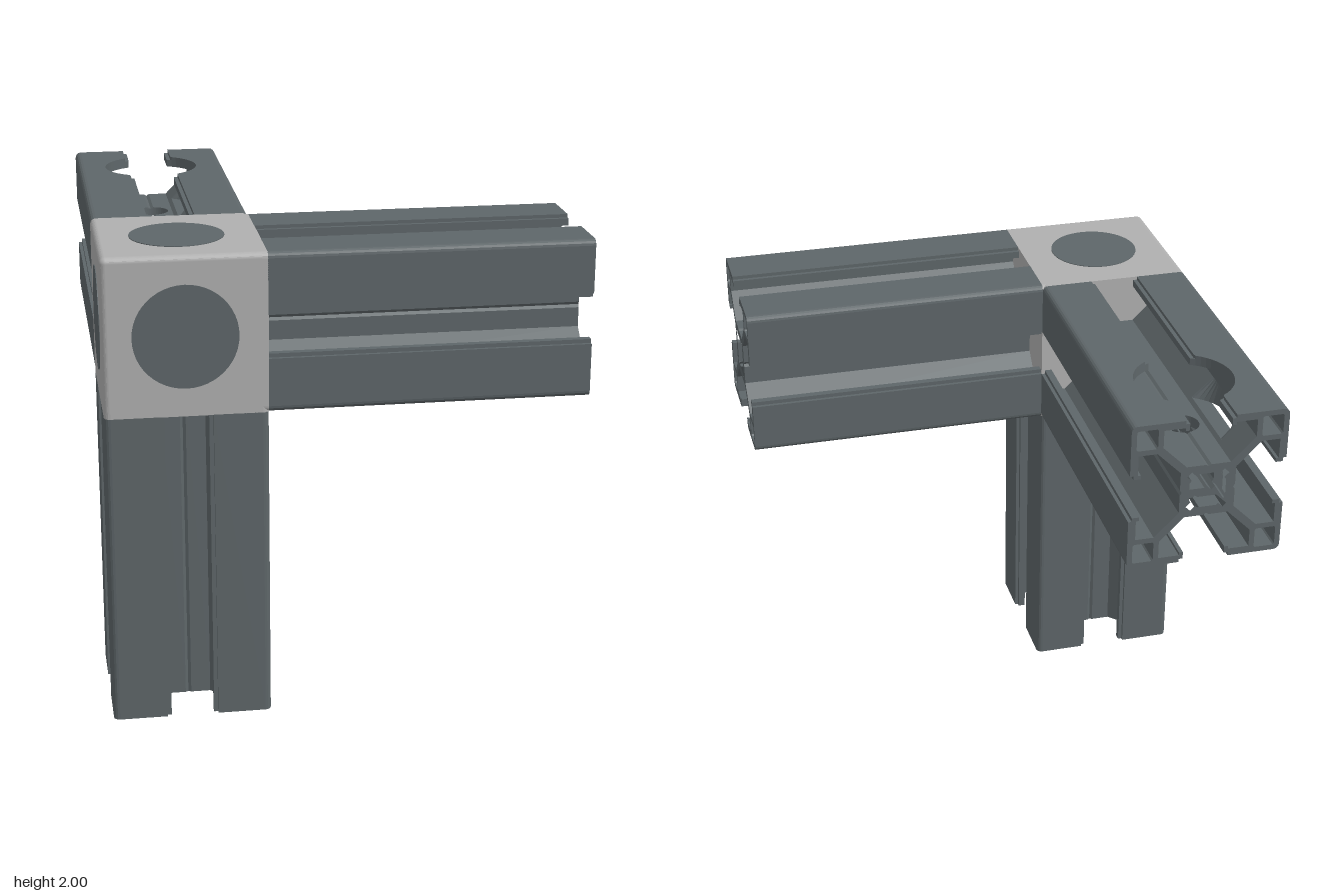
import * as THREE from 'three';
import { RoundedBoxGeometry } from 'three/addons/geometries/RoundedBoxGeometry.js';

const C = 0.667;          // distance of the arm axes from the centre planes
const HALF = 0.333;       // half width of an arm
const CUT_Y = 0.132;      // floor height of the counterbore above the arm axis
const BORE = 0.21, HOLE = 0.075, HOLE_Z = -0.65;

const metal = new THREE.MeshStandardMaterial({ color: 0x5e6669 });
metal.name = 'dark grey metal';
const plastic = new THREE.MeshStandardMaterial({ color: 0xb0b0b0 });
plastic.name = 'light grey';

// Profile helpers: an eighth is mirrored on the diagonal, then turned four times
const quadrant = (eighth) => {
  const back = eighth.map(([x, y]) => [y, x]).reverse();
  const onDiagonal = eighth.at(-1)[0] === eighth.at(-1)[1];
  return [...eighth, ...back.slice(onDiagonal ? 1 : 0)];
};
const turn = (pts) => pts.map(([x, y]) => [y, -x]);
const ring = (q) => {
  const out = [];
  for (let i = 0, p = q; i < 4; i++, p = turn(p)) out.push(...p.slice(0, -1));
  return out;
};
const vectors = (pts, side = 1) => pts.map(([x, y]) => new THREE.Vector2(x * side, y));
const makeShape = (pts, holes = [], side = 1) => {
  const s = new THREE.Shape(vectors(pts, side));
  s.holes = holes.map((h) => new THREE.Path(vectors(h, side)));
  return s;
};

// Slot floor, web, corner box and lip
const outerQ = quadrant([
  [0, 0.110], [0.012, 0.118], [0.094, 0.118], [0.197, 0.221], [0.197, 0.300],
  [0.107, 0.300], [0.107, 0.287], [0.09, 0.287], [0.09, 0.318], [0.107, 0.318],
  [0.107, HALF], [0.308, HALF], [0.3176, 0.3311], [0.3257, 0.3257],
]);
// Hollow core with diagonal notches
const coreQ = quadrant([[0, 0.078], [0.04, 0.078], [0.05, 0.07], [0.07, 0.09]]);
// Hollow in a corner box
const boxHole = [
  [0.226, 0.22], [0.304, 0.22], [0.31, 0.226], [0.31, 0.304],
  [0.304, 0.31], [0.226, 0.31], [0.22, 0.304], [0.22, 0.226],
];
const boxHoles = [boxHole];
for (let i = 0; i < 3; i++) boxHoles.push(turn(boxHoles[i]));
const fullProfile = makeShape(ring(outerQ), [ring(coreQ), ...boxHoles]);

function extrude(shape, z0, z1, steps = 1) {
  const g = new THREE.ExtrudeGeometry(shape, { depth: z1 - z0, steps, bevelEnabled: false });
  return g.translate(0, 0, z0);
}

function add(parent, name, geometry, material) {
  const m = new THREE.Mesh(geometry, material);
  m.name = name;
  parent.add(m);
  return m;
}

// Extrudes one side of the profile and pushes it out of a vertical cylinder of radius r
function extrudeAroundBore(shape, side, r) {
  const g = extrude(shape, 0, 1, 28);
  const p = g.attributes.position;
  for (let i = 0; i < p.count; i++) {
    const a = Math.PI * p.getZ(i);
    const clear = r * Math.sin(a);
    if (p.getX(i) * side < clear) p.setX(i, side * clear);
    p.setZ(i, HOLE_Z - r * Math.cos(a));
  }
  g.computeVertexNormals();
  return g;
}

// Arm with a counterbored hole from above
function drilledArm() {
  const arm = new THREE.Group();
  add(arm, 'armInnerLength', extrude(fullProfile, HOLE_Z + BORE, 0.335), metal);
  add(arm, 'armOuterLength', extrude(fullProfile, -1, HOLE_Z - BORE), metal);
  const L = outerQ.length;
  const cut = [[CUT_Y - 0.024, CUT_Y], [CUT_Y + 0.024, CUT_Y]];
  const upper = [cut[0], ...outerQ.slice(3, L - 3), cut[1]];
  const core = [...coreQ, ...turn(coreQ).slice(1)].reverse();
  const lower = [...outerQ.slice(0, 3), ...cut, ...outerQ.slice(L - 3),
    ...turn(outerQ).slice(1), ...core];
  for (const side of [1, -1]) {
    const up = makeShape(upper, [boxHoles[0]], side);
    const low = makeShape(lower, [boxHoles[1]], side);
    add(arm, 'counterboredRail', extrudeAroundBore(up, side, BORE), metal);
    add(arm, 'drilledCore', extrudeAroundBore(low, side, HOLE), metal);
    add(arm, 'lowerRail', extrude(low, HOLE_Z + HOLE, HOLE_Z + BORE), metal);
    add(arm, 'lowerRail', extrude(low, HOLE_Z - BORE, HOLE_Z - HOLE), metal);
  }
  return arm;
}

export function createModel() {
  const model = new THREE.Group();
  model.name = 'cornerFrame';

  // Three slotted arms
  const sideArm = add(model, 'sideArm', extrude(fullProfile, -0.335, 1), metal);
  sideArm.rotation.y = Math.PI / 2;
  sideArm.position.set(0, 2 - HALF, C);
  const leg = add(model, 'uprightLeg', extrude(fullProfile, 0, 1.335), metal);
  leg.rotation.x = -Math.PI / 2;
  leg.position.set(-C, 0, C);
  const backArm = drilledArm();
  backArm.name = 'drilledBackArm';
  backArm.position.set(-C, 2 - HALF, 0);
  model.add(backArm);

  // Corner block: rounded outside, square where the arms meet it
  const block = new THREE.Group();
  block.name = 'cornerBlock';
  block.position.set(-C, 2 - HALF, C);
  model.add(block);
  add(block, 'roundedCube', new RoundedBoxGeometry(2 * HALF, 2 * HALF, 2 * HALF, 3, 0.025), plastic);
  const corner = outerQ.filter(([x, y]) => x > 0.3 && y > 0.3);
  const square = [];
  for (let i = 0, p = corner; i < 4; i++, p = turn(p)) square.push(...p);
  const seat = extrude(makeShape(square), -0.303, HALF);
  add(block, 'sideArmSeat', seat, plastic).rotation.y = Math.PI / 2;
  add(block, 'legSeat', seat, plastic).rotation.x = Math.PI / 2;
  add(block, 'backArmSeat', seat, plastic).rotation.y = Math.PI;

  // Round caps on the three outer faces
  const cap = (name, r) => add(block, name, new THREE.CylinderGeometry(r, r, 0.006, 48), metal);
  cap('topCap', 0.195).position.y = HALF;
  const front = cap('frontCap', 0.215);
  front.rotation.x = Math.PI / 2;
  front.position.z = HALF;
  const side = cap('sideCap', 0.215);
  side.rotation.z = Math.PI / 2;
  side.position.x = -HALF;

  return model;
}
